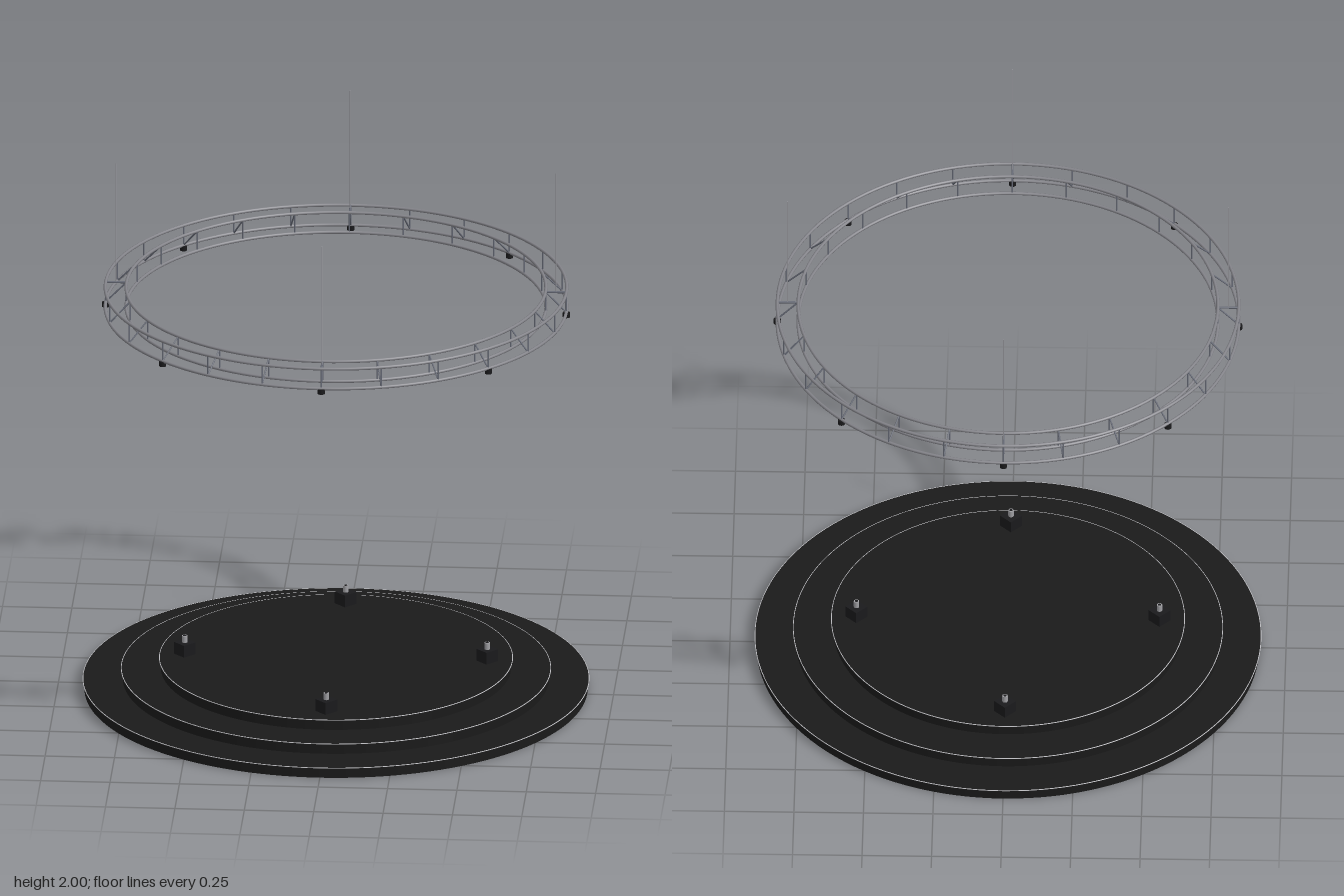
import * as THREE from 'three';

const mat = (name, color) => Object.assign(new THREE.MeshStandardMaterial({ color }), { name });

export function createModel() {
  const stageBlack = mat('stage black', 0x1a1a1a);
  const trimLight = mat('trim light grey', 0xc8c8cc);
  const trussGrey = mat('truss grey', 0x84848a);
  const braceGrey = mat('brace blue grey', 0x686c78);
  const cableGrey = mat('cable grey', 0x9a9aa0);
  const fixtureBlack = mat('fixture black', 0x1a1a1c);
  const nozzleGrey = mat('nozzle grey', 0xa0a0a4);

  const model = new THREE.Group();
  model.name = 'circularStage';

  const add = (parent, name, geometry, material, x = 0, y = 0, z = 0) => {
    const mesh = new THREE.Mesh(geometry, material);
    mesh.name = name;
    mesh.position.set(x, y, z);
    parent.add(mesh);
    return mesh;
  };
  const ring = (parent, name, radius, tube, y, material) => {
    add(parent, name, new THREE.TorusGeometry(radius, tube, 8, 128), material, 0, y, 0).rotation.x = Math.PI / 2;
  };
  // Straight round bar between two points
  const bar = (parent, name, a, b, radius, material) => {
    const dir = b.clone().sub(a);
    const mesh = add(parent, name, new THREE.CylinderGeometry(radius, radius, dir.length(), 6), material);
    mesh.position.copy(a).add(b).multiplyScalar(0.5);
    mesh.quaternion.setFromUnitVectors(new THREE.Vector3(0, 1, 0), dir.normalize());
  };
  const polar = (radius, y, angle) =>
    new THREE.Vector3(Math.sin(angle) * radius, y, Math.cos(angle) * radius);

  // Three stepped round tiers, each with an overhanging lip and a thin light edge
  const stage = new THREE.Group();
  stage.name = 'stage';
  model.add(stage);
  [0.91, 0.772, 0.635].forEach((r, i) => {
    const y = i * 0.04;
    add(stage, 'tier', new THREE.CylinderGeometry(r - 0.005, r - 0.005, 0.034, 128), stageBlack, 0, y + 0.017, 0);
    add(stage, 'tierLip', new THREE.CylinderGeometry(r, r, 0.006, 128), stageBlack, 0, y + 0.037, 0);
    ring(stage, 'tierTrim', r, 0.0016, y + 0.039, trimLight);
  });

  // Four floor effect units, turned 45 degrees, each with a small round nozzle
  for (let i = 0; i < 4; i++) {
    const unit = new THREE.Group();
    unit.name = 'floorUnit';
    unit.position.copy(polar(0.545, 0.12, i * Math.PI / 2));
    model.add(unit);
    add(unit, 'unitBody', new THREE.BoxGeometry(0.056, 0.045, 0.056), fixtureBlack, 0, 0.0225, 0).rotation.y = Math.PI / 4;
    add(unit, 'unitNozzle', new THREE.CylinderGeometry(0.01, 0.01, 0.025, 12), nozzleGrey, 0, 0.0575, 0);
    add(unit, 'nozzleOpening', new THREE.CylinderGeometry(0.006, 0.006, 0.002, 12), fixtureBlack, 0, 0.07, 0);
  }

  // Round box truss: four chords
  const truss = new THREE.Group();
  truss.name = 'truss';
  model.add(truss);
  const outer = 0.83, inner = 0.755, top = 1.544, bottom = 1.468;
  for (const r of [outer, inner]) for (const y of [top, bottom]) ring(truss, 'chord', r, 0.006, y, trussGrey);

  // Truss frames: two posts and one diagonal brace every 15 degrees
  for (let i = 0; i < 24; i++) {
    const a = i * Math.PI / 12;
    for (const r of [outer, inner]) bar(truss, 'post', polar(r, bottom, a), polar(r, top, a), 0.003, braceGrey);
    bar(truss, 'brace', polar(outer, bottom, a), polar(inner, top, a), 0.003, braceGrey);
  }

  // Eight small lamps below the outer chord
  for (let i = 0; i < 8; i++) {
    const p = polar(outer, 1.458, i * Math.PI / 4);
    add(truss, 'lamp', new THREE.CylinderGeometry(0.013, 0.013, 0.018, 12), fixtureBlack, p.x, p.y, p.z);
  }

  // Four suspension cables on cross bars
  for (let i = 0; i < 4; i++) {
    const a = i * Math.PI / 2;
    bar(truss, 'hangerBar', polar(inner, top, a), polar(outer, top, a), 0.004, braceGrey);
    bar(model, 'cable', polar(0.793, top, a), polar(0.793, 2, a), 0.002, cableGrey);
  }
  return model;
}
